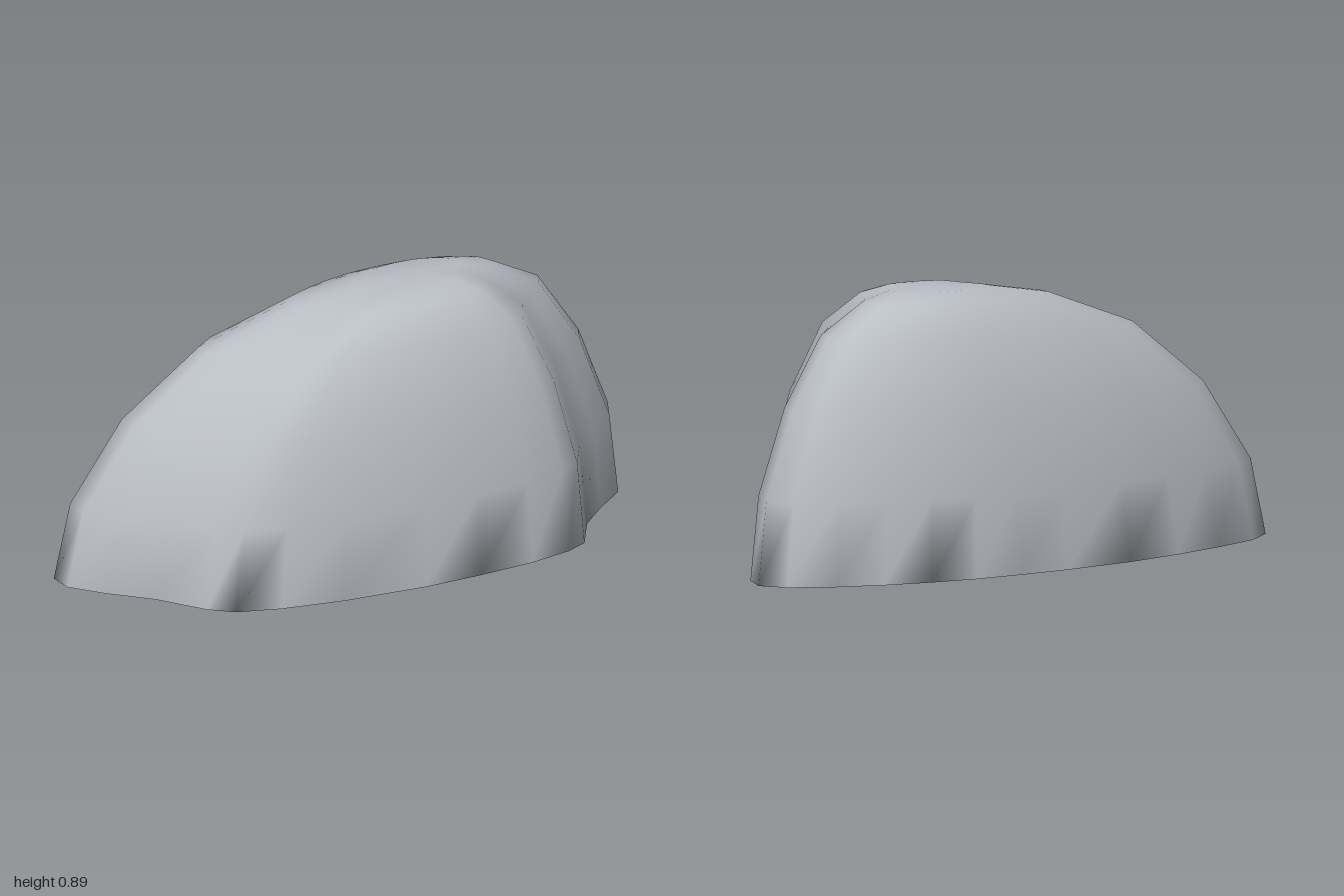
import * as THREE from 'three';

// Ground outline as (x, z), running along the back, the left tip, the front and the right tip
const outline = [
  [-1, -0.2], [-0.88, -0.285], [-0.69, -0.345], [-0.49, -0.392], [-0.26, -0.43], [0, -0.443],
  [0.19, -0.438], [0.36, -0.425], [0.52, -0.395], [0.68, -0.35], [0.83, -0.285], [0.955, -0.2],
  [1, -0.11], [0.945, 0], [0.83, 0.095], [0.72, 0.2], [0.63, 0.345], [0.55, 0.385],
  [0.4, 0.418], [0.2, 0.436], [0, 0.443], [-0.29, 0.425], [-0.5, 0.39], [-0.64, 0.345],
  [-0.71, 0.28], [-0.81, 0.12], [-0.92, 0],  [-1, -0.11],
];

// Rising rings: height, x shift, x scale, z scale, tilt towards the left and the front
const rings = [
  [0, 0, 1, 1, 0],
  [0.26, 0.01, 0.955, 0.96, 0.01],
  [0.53, 0.04, 0.81, 0.84, 0.016],
  [0.745, 0.09, 0.6, 0.66, 0.02],
  [0.85, 0.15, 0.35, 0.45, 0.01],
  [0.88, 0.2, 0.18, 0.28, 0.004],
];

function domeGeometry() {
  const n = outline.length;
  const position = [];
  const index = [];

  for (const [y, shift, sx, sz, tilt] of rings) {
    for (const [x, z] of outline) {
      position.push(shift + x * sx, y + tilt * (x + z), z * sz);
    }
  }
  const apex = position.length / 3;
  position.push(0.22, 0.888, 0);

  // Walls
  for (let r = 0; r < rings.length - 1; r++) {
    for (let j = 0; j < n; j++) {
      const a = r * n + j;
      const b = r * n + ((j + 1) % n);
      index.push(a, a + n, b, b, a + n, b + n);
    }
  }
  // Crown
  const top = (rings.length - 1) * n;
  for (let j = 0; j < n; j++) index.push(top + j, apex, top + ((j + 1) % n));
  // Flat underside, sharing the rim so the edge shades softly
  const flat = outline.map(([x, z]) => new THREE.Vector2(x, z));
  for (const face of THREE.ShapeUtils.triangulateShape(flat, [])) index.push(...face);

  const geometry = new THREE.BufferGeometry();
  geometry.setAttribute('position', new THREE.Float32BufferAttribute(position, 3));
  geometry.setIndex(index);
  geometry.computeVertexNormals();
  return geometry;
}

export function createModel() {
  const group = new THREE.Group();
  group.name = 'roundedDome';
  const grey = new THREE.MeshStandardMaterial({ color: 0xb9bdc4 });
  grey.name = 'lightGrey';
  const dome = new THREE.Mesh(domeGeometry(), grey);
  dome.name = 'domeBody';
  group.add(dome);
  return group;
}
